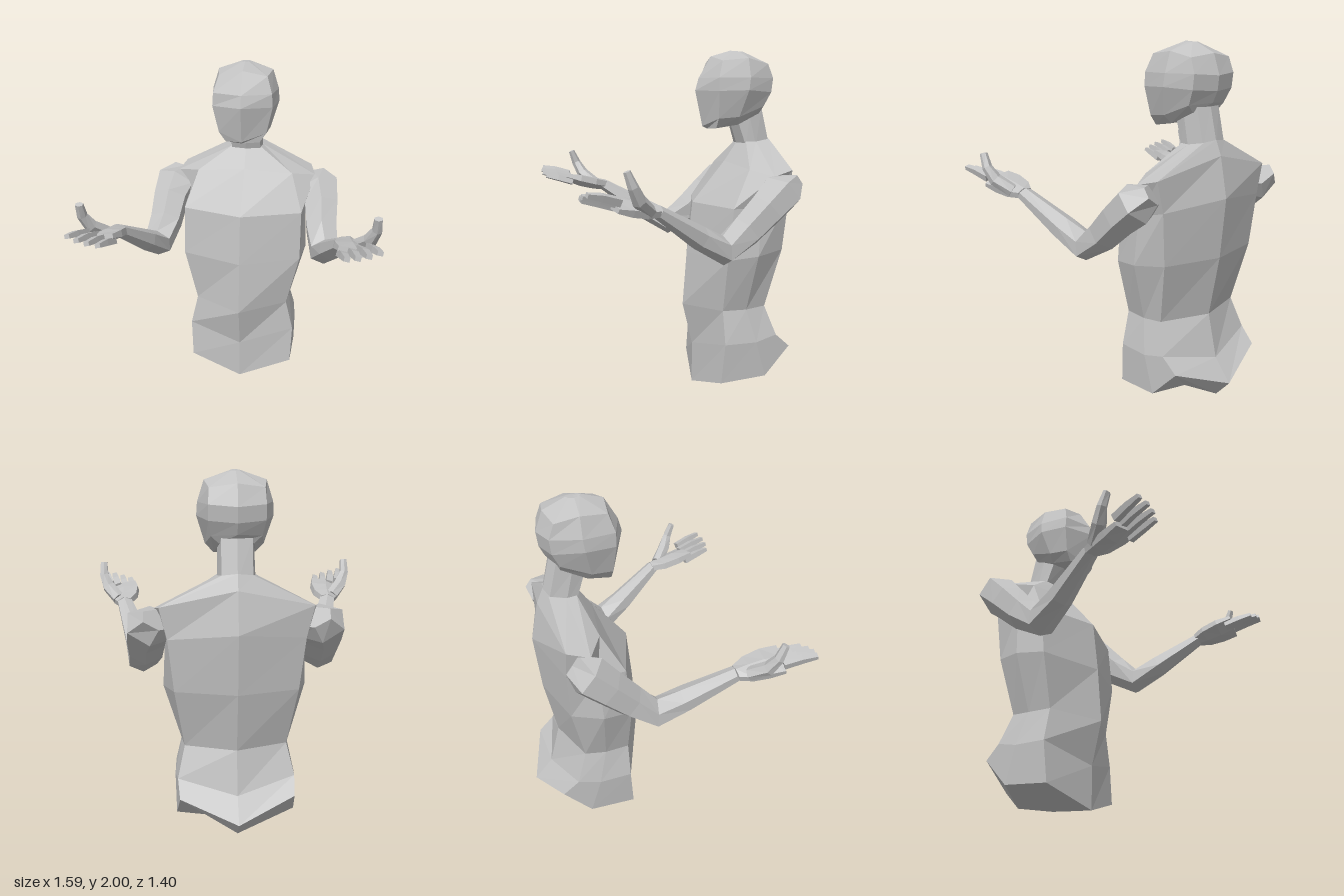
import * as THREE from 'three';

const V = (x, y, z) => new THREE.Vector3(x, y, z);

// Skin a list of equal-length rings with flat faces, closing both ends.
function loft(rings) {
  const pos = [];
  const tri = (a, b, c) => {
    const area = b.clone().sub(a).cross(c.clone().sub(a)).length();
    if (area > 1e-7) for (const p of [a, b, c]) pos.push(p.x, p.y, p.z);
  };
  const n = rings[0].length;
  const mid = (r) => r.reduce((s, p) => s.add(p), V(0, 0, 0)).divideScalar(n);
  const first = rings[0], last = rings[rings.length - 1];
  for (let j = 0; j < n; j++) {
    const k = (j + 1) % n;
    for (let i = 0; i < rings.length - 1; i++) {
      const r = rings[i], q = rings[i + 1];
      tri(r[j], r[k], q[k]);
      tri(r[j], q[k], q[j]);
    }
    tri(mid(first), first[k], first[j]);
    tri(mid(last), last[j], last[k]);
  }
  const g = new THREE.BufferGeometry();
  g.setAttribute('position', new THREE.Float32BufferAttribute(pos, 3));
  g.computeVertexNormals();
  return g;
}

// Half section, front centre to back centre, mirrored into a full ring.
function symmetricRing(half) {
  const left = half.map((p) => V(...p));
  const right = left.slice(1, -1).reverse().map((p) => V(-p.x, p.y, p.z));
  return [...left, ...right];
}

// Rings along a path of [x, y, z, halfWidth, halfHeight], rolled about the path.
function limbRings(path, sides, roll = 0) {
  const c = path.map((p) => V(p[0], p[1], p[2]));
  return path.map((p, i) => {
    const t = c[Math.min(i + 1, c.length - 1)].clone().sub(c[Math.max(i - 1, 0)]).normalize();
    const u = V(1, 0, 0).addScaledVector(t, -t.x).normalize();
    const w = t.clone().cross(u);
    const a = u.clone().multiplyScalar(Math.cos(roll)).addScaledVector(w, Math.sin(roll));
    const b = t.clone().cross(a);
    const grow = 1 / Math.cos(Math.PI / sides);
    return Array.from({ length: sides }, (_, j) => {
      const ang = ((j + 0.5) / sides) * Math.PI * 2;
      return c[i].clone()
        .addScaledVector(a, Math.cos(ang) * p[3] * grow)
        .addScaledVector(b, Math.sin(ang) * p[4] * grow);
    });
  });
}

const mirrorRings = (rings) => rings.map((r) => r.map((p) => V(-p.x, p.y, p.z)).reverse());

export function createModel() {
  const model = new THREE.Group();
  model.name = 'bust';
  const grey = new THREE.MeshStandardMaterial({ color: 0xc2c2c2 });
  grey.name = 'light grey';

  const add = (name, rings, parent = model) => {
    const m = new THREE.Mesh(loft(rings), grey);
    m.name = name;
    parent.add(m);
  };

  // Torso: keel, hips, seat, waist, ribs, chest, shoulders, neck base
  add('torso', [
    [[0, .005, -.10], [0, .012, -.2], [0, .025, -.36], [0, .07, -.61], [0, .17, -.705]],
    [[0, .005, -.10], [.32, .10, -.17], [.33, .12, -.44], [.31, .28, -.60], [0, .17, -.705]],
    [[0, .25, -.10], [.33, .33, -.19], [.335, .33, -.38], [.32, .36, -.51], [0, .29, -.60]],
    [[0, .50, -.04], [.285, .52, -.19], [.295, .52, -.33], [.28, .53, -.45], [0, .53, -.54]],
    [[0, .82, -.065], [.36, .83, -.19], [.39, .85, -.36], [.33, .87, -.53], [0, .87, -.61]],
    [[0, 1.12, -.10], [.36, 1.12, -.22], [.375, 1.12, -.38], [.36, 1.16, -.55], [0, 1.2, -.645]],
    [[0, 1.36, -.30], [.29, 1.33, -.34], [.43, 1.30, -.43], [.40, 1.33, -.55], [0, 1.42, -.60]],
    [[0, 1.475, -.38], [.09, 1.475, -.40], [.10, 1.475, -.46], [.08, 1.49, -.55], [0, 1.5, -.565]],
  ].map(symmetricRing));

  // Neck
  add('neck', [
    [[0, 1.45, -.38], [.09, 1.45, -.40], [.10, 1.45, -.46], [.08, 1.46, -.55], [0, 1.47, -.57]],
    [[0, 1.6, -.33], [.08, 1.6, -.35], [.095, 1.62, -.42], [.08, 1.67, -.5], [0, 1.67, -.52]],
  ].map(symmetricRing));

  // Head, from jaw to crown
  add('head', [
    [[0, 1.55, -.19], [.10, 1.555, -.21], [.11, 1.575, -.34], [.09, 1.64, -.48], [0, 1.65, -.50]],
    [[0, 1.565, -.16], [.14, 1.61, -.21], [.155, 1.62, -.33], [.13, 1.68, -.49], [0, 1.69, -.535]],
    [[0, 1.77, -.115], [.175, 1.765, -.20], [.20, 1.77, -.37], [.145, 1.76, -.53], [0, 1.75, -.565]],
    [[0, 1.84, -.135], [.17, 1.84, -.20], [.195, 1.84, -.38], [.145, 1.84, -.54], [0, 1.83, -.575]],
    [[0, 1.965, -.21], [.14, 1.935, -.23], [.16, 1.95, -.38], [.14, 1.92, -.51], [0, 1.94, -.535]],
    [[0, 2, -.33], [.02, 1.997, -.34], [.03, 1.995, -.37], [.02, 1.995, -.4], [0, 1.995, -.41]],
  ].map(symmetricRing));

  // Arm and hand parts for the left side
  const parts = [
    ['arm', limbRings([
      [.40, 1.26, -.52, .09, .05],
      [.45, 1.21, -.45, .12, .10],
      [.475, 1.13, -.36, .10, .09],
      [.485, 1.02, -.24, .09, .08],
      [.51, .925, -.10, .08, .07],
      [.55, 1.01, .05, .068, .055],
      [.635, 1.17, .30, .042, .03],
    ], 6)],
    ['palm', limbRings([
      [.635, 1.17, .29, .042, .028],
      [.635, 1.18, .36, .075, .032],
      [.645, 1.2, .45, .09, .032],
      [.665, 1.22, .535, .09, .02],
    ], 6, -.22)],
    ['thumb', limbRings([
      [.675, 1.18, .35, .035, .03],
      [.74, 1.24, .42, .035, .032],
      [.77, 1.31, .455, .025, .024],
      [.77, 1.385, .485, .02, .016],
    ], 6)],
  ];
  for (let i = 0; i < 4; i++) {
    const tip = i === 0 || i === 3 ? .675 : .69;
    parts.push(['finger', limbRings([
      [.593 + .047 * i, 1.2 + .013 * i, .51, .021, .019],
      [.608 + .05 * i, 1.225 + .014 * i, .60, .019, .017],
      [.622 + .052 * i, 1.24 + .014 * i, tip, .015, .011],
    ], 4, -.22)]);
  }

  for (const side of ['left', 'right']) {
    const limb = new THREE.Group();
    limb.name = side + 'Limb';
    for (const [name, rings] of parts) {
      add(name, side === 'left' ? rings : mirrorRings(rings), limb);
    }
    model.add(limb);
  }
  return model;
}
